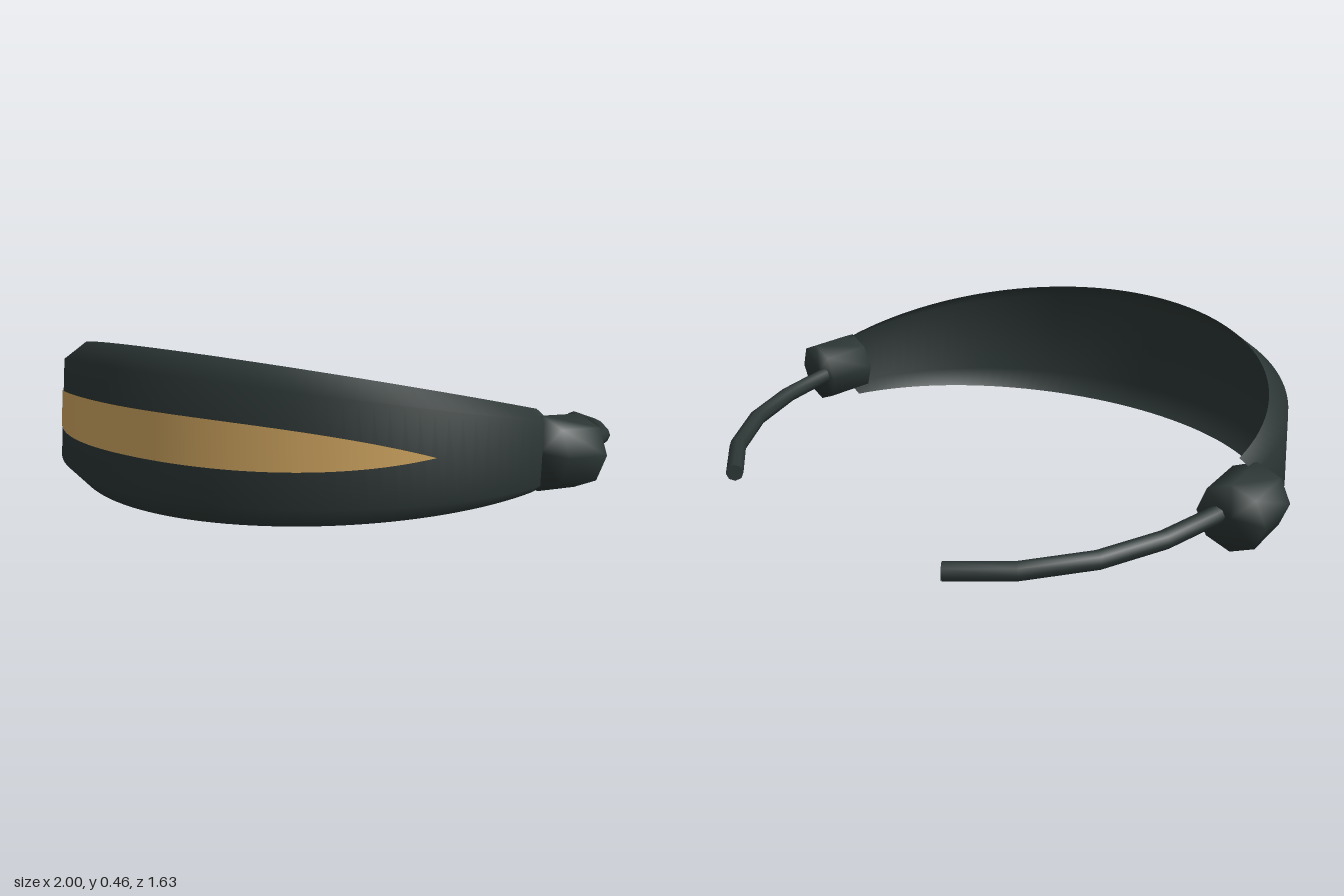
import * as THREE from 'three';
import { mergeVertices } from 'three/addons/utils/BufferGeometryUtils.js';

const RX = 0.89, RZ = 0.815, MID = 0.182;

// Surface swept round the elliptical front from -tMax to tMax;
// section(t) lists [depth behind the front face, height from the midline] pairs
function sweep(section, tMax, steps) {
  const pos = [], idx = [], n = section(0).length;
  for (let i = 0; i <= steps; i++) {
    const t = -tMax + (2 * tMax * i) / steps;
    for (const [d, y] of section(t)) pos.push((RX - d) * Math.sin(t), MID + y, (RZ - d) * Math.cos(t));
  }
  for (let i = 0; i < steps; i++) {
    for (let j = 0; j < n - 1; j++) {
      const a = i * n + j, b = a + n;
      idx.push(a, b, a + 1, b, b + 1, a + 1);
    }
  }
  const g = new THREE.BufferGeometry();
  g.setAttribute('position', new THREE.Float32BufferAttribute(pos, 3));
  g.setIndex(idx);
  g.computeVertexNormals();
  return g;
}

// Thin shell with edges bent inward, lower toward the ends
function bandSection(t) {
  const h = 0.113 + 0.12 * Math.cos(t);
  const d = 0.05 + 0.019 * Math.cos(t);
  return [[d, -h], [0, -0.73 * h], [0, 0.73 * h], [d, h]];
}

// Eight-sided drum with normals blended over its rims
function podGeometry() {
  const g = new THREE.CylinderGeometry(0.105, 0.105, 0.16, 8).rotateX(Math.PI / 2);
  g.deleteAttribute('normal');
  g.deleteAttribute('uv');
  const smooth = mergeVertices(g);
  smooth.computeVertexNormals();
  return smooth;
}

export function createModel() {
  const model = new THREE.Group();
  model.name = 'visor';
  const dark = new THREE.MeshStandardMaterial({ name: 'darkShell', color: 0x2c3635, side: THREE.DoubleSide });
  const gold = new THREE.MeshStandardMaterial({ name: 'goldLens', color: 0xd2a761 });
  const add = (parent, name, geometry, material = dark) => {
    const m = new THREE.Mesh(geometry, material);
    m.name = name;
    parent.add(m);
    return m;
  };

  // Whole headpiece leans back slightly
  const body = new THREE.Group();
  body.name = 'headpiece';
  body.rotation.x = -0.07;
  model.add(body);

  // Curved front band
  add(body, 'frontBand', sweep(bandSection, 1.53, 64));

  // Tapered lens strip, just proud of the band
  const tip = 1.068;
  add(body, 'lens', sweep(t => {
    const h = 0.067 * (1 - Math.pow(Math.abs(t) / tip, 3.1));
    return [[-0.003, -h], [-0.003, h]];
  }, tip, 64), gold);

  // Side pods and temple arms
  const path = [[0.862, 0.05], [0.852, -0.117], [0.82, -0.3], [0.745, -0.488], [0.615, -0.66], [0.46, -0.782]];
  for (const side of [-1, 1]) {
    const label = side > 0 ? 'left' : 'right';
    const pod = add(body, label + 'Pod', podGeometry());
    pod.position.set(side * 0.887, MID, -0.018);
    pod.rotation.y = -side * 0.12;

    const pts = path.map(([x, z]) => new THREE.Vector3(side * x, MID, z));
    const curve = new THREE.CatmullRomCurve3(pts);
    // Put the bends exactly on the path points
    curve.getPointAt = (u, target) => curve.getPoint(u, target);
    add(body, label + 'Arm', new THREE.TubeGeometry(curve, 5, 0.027, 8));
    const cap = add(body, label + 'ArmTip', new THREE.CircleGeometry(0.027, 8));
    cap.position.copy(pts[5]);
    cap.lookAt(pts[5].clone().add(curve.getTangent(1)));
  }
  return model;
}
